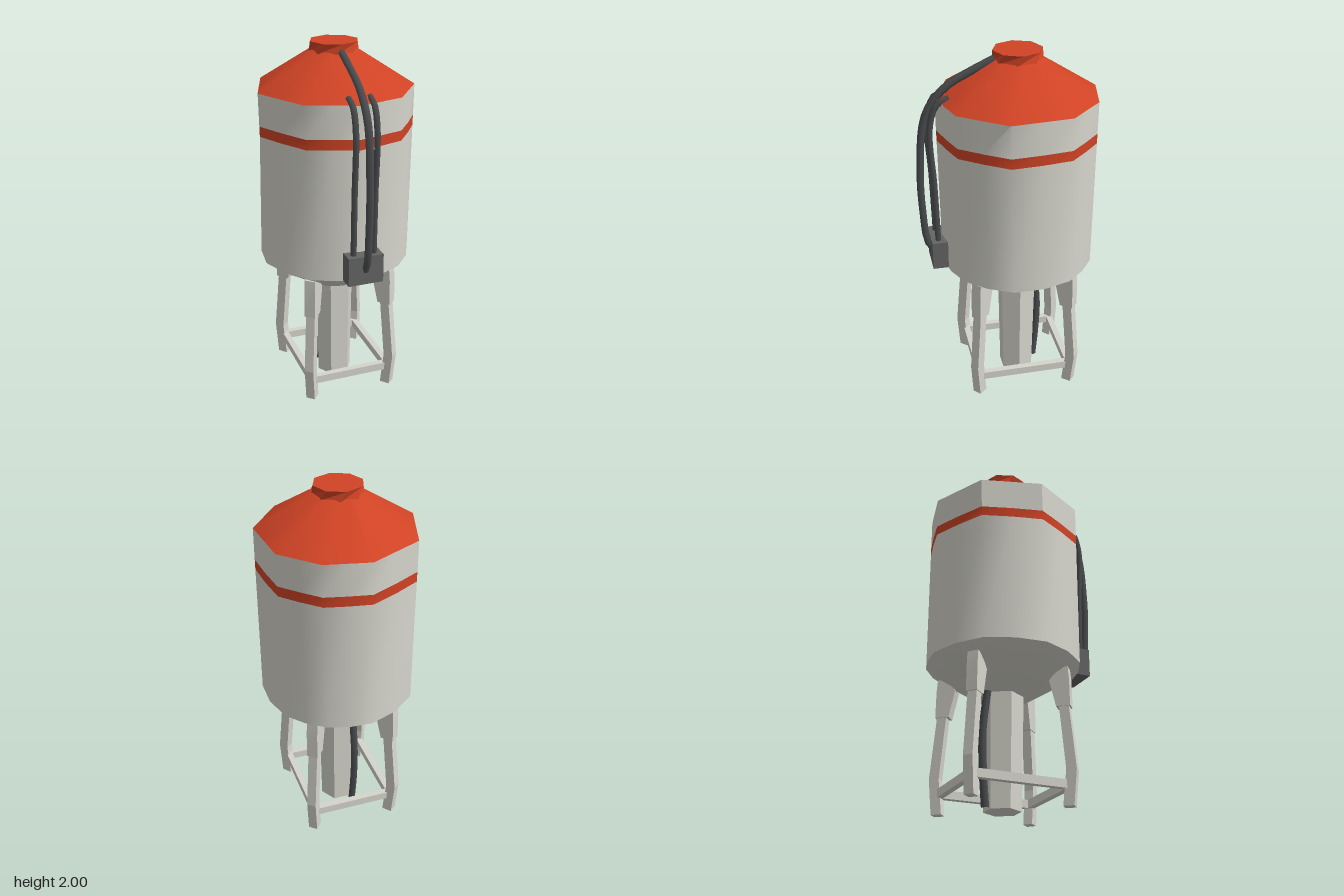
import * as THREE from 'three';
import { toCreasedNormals } from 'three/addons/utils/BufferGeometryUtils.js';

const CZ = -0.06; // depth of the tank axis
const V = (x, y, z) => new THREE.Vector3(x, y, z);
const rad = THREE.MathUtils.degToRad;

// Skin a stack of equal-length rings, lowest first, with optional end caps
function loft(rings, crease = 0.1, capBottom = true, capTop = true) {
  const n = rings[0].length, pos = rings.flat().flatMap(p => [p.x, p.y, p.z]), idx = [];
  for (let i = 0; i < rings.length - 1; i++) {
    for (let j = 0; j < n; j++) {
      const k = (j + 1) % n, a = i * n + j, b = i * n + k, c = b + n, d = a + n;
      idx.push(a, d, b, b, d, c);
    }
  }
  const t = (rings.length - 1) * n;
  for (let j = 1; j < n - 1; j++) {
    if (capBottom) idx.push(0, j, j + 1);
    if (capTop) idx.push(t, t + j + 1, t + j);
  }
  const g = new THREE.BufferGeometry();
  g.setAttribute('position', new THREE.Float32BufferAttribute(pos, 3));
  g.setIndex(idx);
  return toCreasedNormals(g, crease);
}

// Point on a circle around the tank axis
const polar = (r, deg, y) => V(r * Math.cos(rad(deg)), y, CZ + r * Math.sin(rad(deg)));
const regular = (n, r, y, turn = 0) =>
  Array.from({ length: n }, (_, i) => polar(r, turn + i * 360 / n, y));

// Uneven nine-sided outline; round > 0 pushes the side midpoints outwards
const ANGLES = [-94, -61, -27, 17, 57, 92, 130, 175, 221];
function outline(r, y, turn = 0, round = 0) {
  return ANGLES.flatMap((a, i) => {
    const b = i < 8 ? ANGLES[i + 1] : ANGLES[0] + 360;
    const flat = Math.cos(rad((b - a) / 2));
    return [polar(r, a + turn, y), polar(r * (flat + (1 - flat) * round), (a + b) / 2 + turn, y)];
  });
}

export function createModel() {
  const model = new THREE.Group();
  const mat = (name, color) => {
    const m = new THREE.MeshStandardMaterial({ color });
    m.name = name;
    return m;
  };
  const light = mat('lightGrey', 0xd6d5cc);
  const red = mat('red', 0xd04325);
  const boxGrey = mat('boxGrey', 0x646464);
  const hoseGrey = mat('hoseGrey', 0x4a4c4e);
  const add = (name, geo, material, parent = model) => {
    const m = new THREE.Mesh(geo, material);
    m.name = name;
    parent.add(m);
    return m;
  };

  // Tank wall in three bands, so the stripe lies flush
  const low = outline(0.425, 0.8, -3, 0.75), high = outline(0.432, 1.76);
  const wallRing = y => low.map((p, i) => p.clone().lerp(high[i], (y - 0.8) / 0.96));
  const crease = rad(42);
  add('tankWall', loft([wallRing(0.8), wallRing(1.53)], crease, false, false), light);
  add('tankStripe', loft([wallRing(1.53), wallRing(1.585)], crease, false, false), red);
  add('tankUpperWall', loft([wallRing(1.585), wallRing(1.76)], crease, false, false), light);

  // Funnel under the tank and cone roof above it
  add('funnel', loft([outline(0.155, 0.63, -3, 0.75), low], crease, true, false), light);
  add('roof', loft([high, outline(0.125, 1.955)], crease, false, true), red);
  add('roofCap', loft([regular(8, 0.132, 1.945, 15), regular(8, 0.132, 2, 0)]), red);

  // Central outlet pipe
  add('outletPipe', loft([regular(6, 0.1, 0.005), regular(6, 0.112, 0.64)]), light);

  // Four bent legs: rows are [height, inner distance, outer distance] from the axis
  const legRows = [[0.01, 0.325, 0.382], [0.2, 0.345, 0.4], [0.57, 0.312, 0.365]];
  const sleeveRows = [[0.54, 0.3, 0.376], [0.69, 0.265, 0.374], [0.76, 0.325, 0.368]];
  const post = (rows, dir, half) => loft(rows.map(([y, a, b]) =>
    [[b, -half], [b, half], [a, half], [a, -half]].map(([d, t]) =>
      V(dir.x * d - dir.y * t, y, CZ + dir.y * d + dir.x * t))));
  for (const sx of [1, -1]) {
    for (const sz of [1, -1]) {
      const leg = new THREE.Group();
      leg.name = (sz > 0 ? 'front' : 'back') + (sx > 0 ? 'Left' : 'Right') + 'Leg';
      const dir = new THREE.Vector2(0.655 * sx, 0.756 * sz);
      add('legPost', post(legRows, dir, 0.026), light, leg);
      add('legSleeve', post(sleeveRows, dir, 0.031), light, leg);
      model.add(leg);
    }
  }

  // Square frame of braces between the legs
  for (const s of [1, -1]) {
    add(s > 0 ? 'frontBrace' : 'backBrace', new THREE.BoxGeometry(0.44, 0.045, 0.035), light)
      .position.set(0, 0.122, CZ + s * 0.265);
    add(s > 0 ? 'leftBrace' : 'rightBrace', new THREE.BoxGeometry(0.035, 0.045, 0.52), light)
      .position.set(s * 0.23, 0.122, CZ);
  }

  // Control box
  add('controlBox', new THREE.BoxGeometry(0.196, 0.16, 0.09), boxGrey).position.set(0, 0.885, 0.386);

  // Hoses
  const hose = (name, pts, r) => add(name, new THREE.TubeGeometry(
    new THREE.CatmullRomCurve3(pts.map(p => V(...p))), 24, r, 6), hoseGrey);
  hose('mainHose', [[0, 1.955, 0.06], [0, 1.9, 0.18], [0, 1.82, 0.32], [0, 1.68, 0.425],
    [0, 1.35, 0.466], [0, 1.1, 0.462], [0, 0.93, 0.445], [0, 0.88, 0.415]], 0.021);
  for (const s of [1, -1]) {
    hose(s > 0 ? 'leftHose' : 'rightHose', [[s * 0.057, 1.785, 0.305], [s * 0.057, 1.755, 0.37],
      [s * 0.057, 1.64, 0.41], [s * 0.057, 1.3, 0.4], [s * 0.057, 0.95, 0.392]], 0.017);
  }
  hose('drainHose', [[-0.05, 0.66, -0.17], [-0.055, 0.4, -0.2], [-0.055, 0.2, -0.195],
    [-0.05, 0.005, -0.178]], 0.021);

  return model;
}
